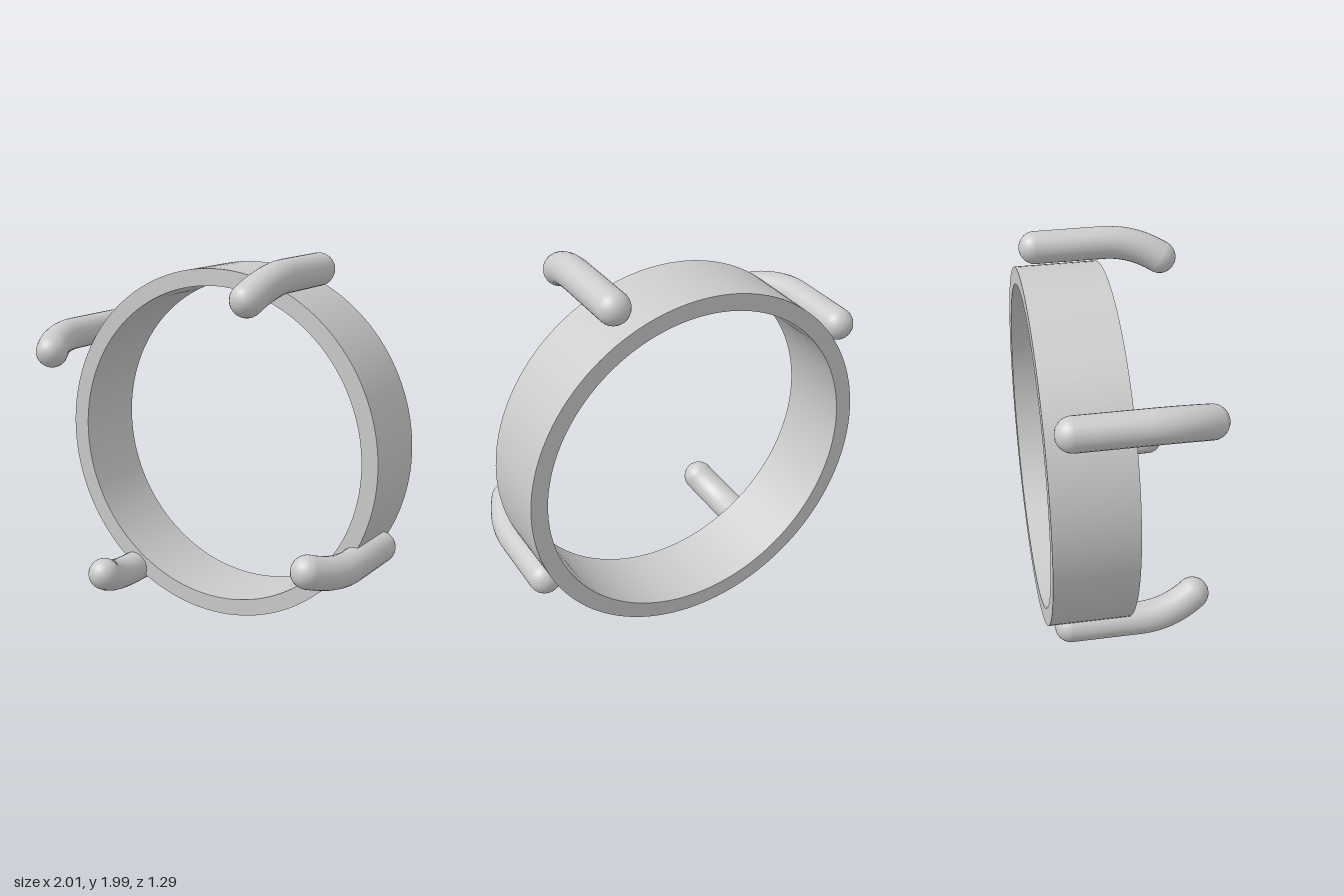
import * as THREE from 'three';
import { toCreasedNormals } from 'three/addons/utils/BufferGeometryUtils.js';

const OUTER = 0.947, INNER = 0.857, DEPTH = 0.425, ROD = 0.086;

export function createModel() {
  const model = new THREE.Group();
  const material = new THREE.MeshStandardMaterial({ color: 0xcccccc });

  const add = (parent, geometry, name) => {
    const mesh = new THREE.Mesh(geometry, material);
    mesh.name = name;
    parent.add(mesh);
    return mesh;
  };

  // Everything is laid out around the ring's own axis (local z), then turned as one
  const setting = new THREE.Group();
  setting.name = 'prongedRing';
  setting.rotation.set(-0.02, -Math.PI / 12, 0, 'YXZ');
  setting.position.set(0.03, 0.957, -0.19);
  model.add(setting);

  // Flat band with a round opening
  const shape = new THREE.Shape().absarc(0, 0, OUTER, 0, Math.PI * 2);
  shape.holes.push(new THREE.Path().absarc(0, 0, INNER, 0, Math.PI * 2, true));
  const band = new THREE.ExtrudeGeometry(shape, { depth: DEPTH, bevelEnabled: false, curveSegments: 64 });
  band.translate(0, 0, -DEPTH / 2);
  add(setting, toCreasedNormals(band, 0.6), 'band');

  // Round-ended prongs lie along the outside and curl inward past the front rim
  const prong = (name, x, y) => {
    const group = new THREE.Group();
    group.name = name;
    const inward = new THREE.Vector2(-x, -y).normalize();
    const at = (along, bend) =>
      new THREE.Vector3(x + inward.x * bend, y + inward.y * bend, -0.09 + along);
    const start = at(0, 0), bendStart = at(0.36, 0), tip = at(0.66, 0.097);

    const path = new THREE.CurvePath();
    path.add(new THREE.LineCurve3(start, bendStart));
    path.add(new THREE.QuadraticBezierCurve3(bendStart, at(0.52, 0), tip));
    add(group, new THREE.TubeGeometry(path, 32, ROD, 24), 'rod');
    for (const [label, end] of [['rearCap', start], ['tipCap', tip]]) {
      add(group, new THREE.SphereGeometry(ROD, 24, 16), label).position.copy(end);
    }
    setting.add(group);
  };
  prong('upperLeftProng', 0.428, 0.947);
  prong('upperRightProng', -0.897, 0.532);
  prong('lowerRightProng', -0.54, -0.793);
  prong('lowerLeftProng', 0.84, -0.493);

  return model;
}
